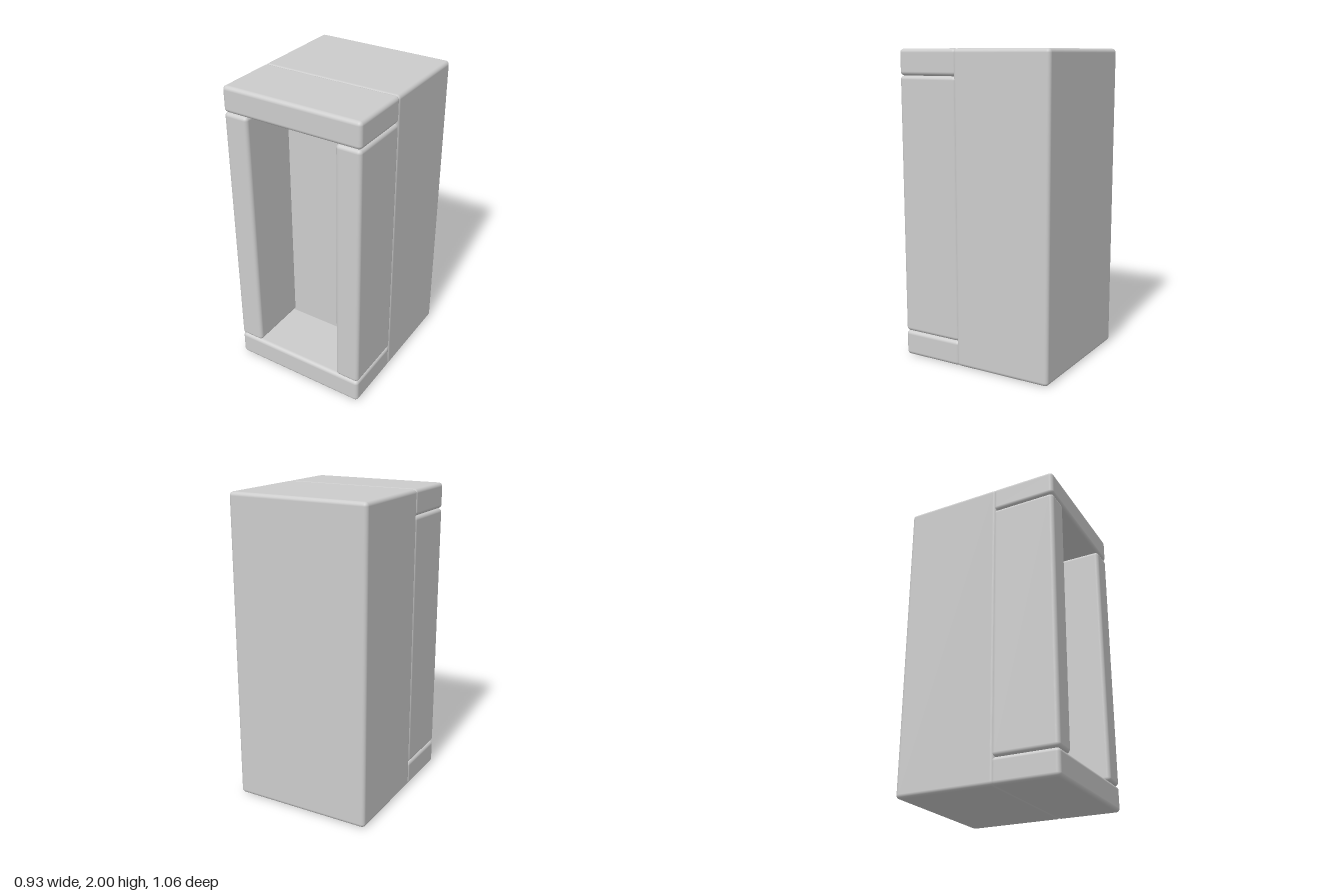
import * as THREE from 'three';
import { RoundedBoxGeometry } from 'three/addons/geometries/RoundedBoxGeometry.js';

export function createModel() {
  const model = new THREE.Group();
  model.name = 'openFrontCabinet';

  const grey = new THREE.MeshStandardMaterial({ color: 0xcccccc });
  grey.name = 'light grey';

  const W = 0.465, D = 0.53, H = 2, RADIUS = 0.025;
  const BAR = 0.165; // thickness of the frame bars

  // Rounded block given by its minimum and maximum corners
  function block(name, min, max) {
    const size = max.map((v, i) => v - min[i]);
    const mesh = new THREE.Mesh(new RoundedBoxGeometry(...size, 4, RADIUS), grey);
    mesh.position.set(...max.map((v, i) => (v + min[i]) / 2));
    mesh.name = name;
    model.add(mesh);
  }

  // Solid rear body
  block('rearBody', [-W, 0, -D], [W, H, 0.127]);

  // Front frame: its rear ends sink slightly into the body, leaving a fine seam
  const back = 0.107;
  block('bottomBar', [-W, 0, back], [W, BAR, D]);
  block('topBar', [-W, H - BAR, back], [W, H, D]);
  block('leftPost', [W - BAR, BAR, back], [W, H - BAR, D]);
  block('rightPost', [-W, BAR, back], [-W + BAR, H - BAR, D]);

  return model;
}
